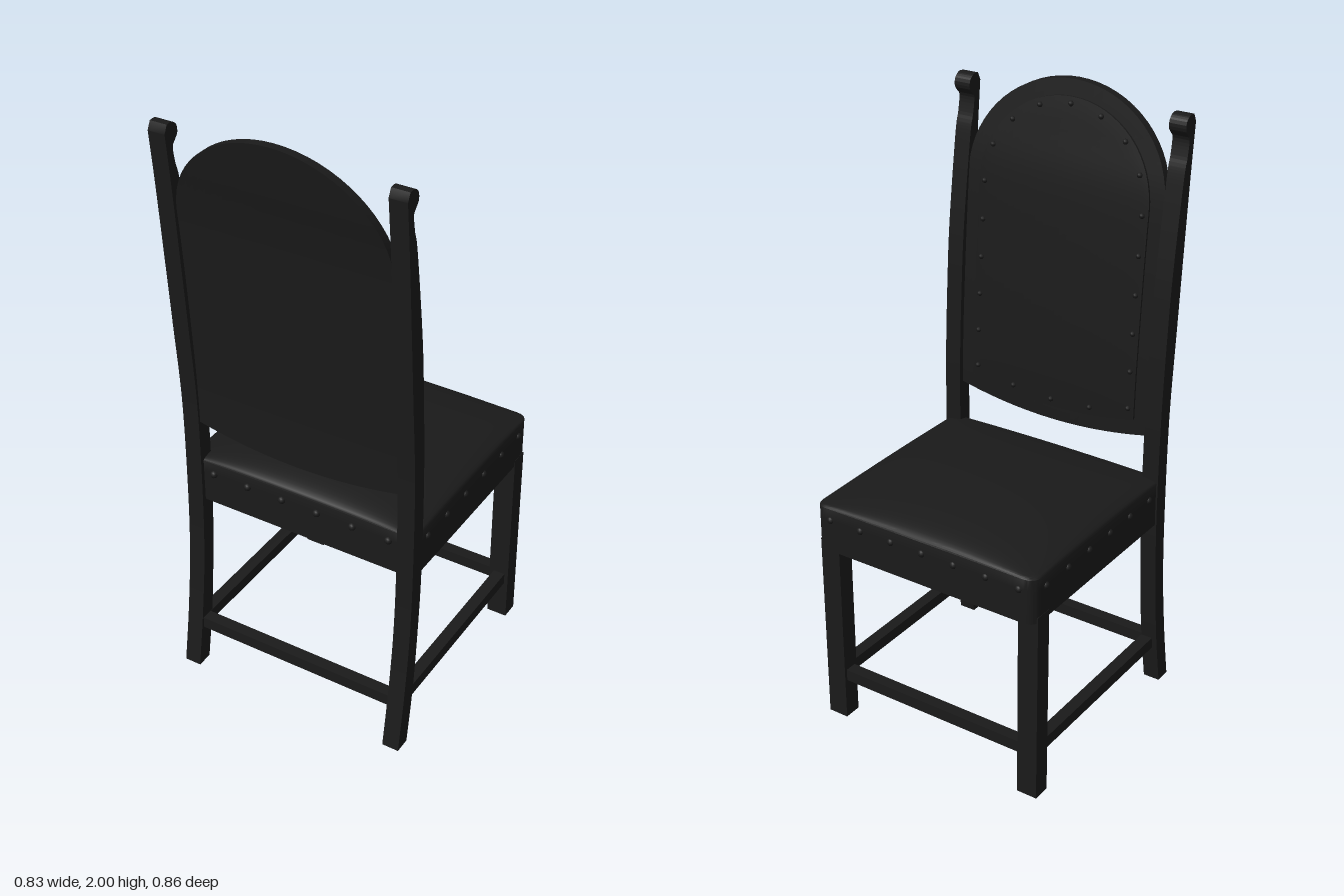
import * as THREE from 'three';
import { toCreasedNormals } from 'three/addons/utils/BufferGeometryUtils.js';

const material = new THREE.MeshStandardMaterial({ color: 0x1a1a1a });

function add(parent, name, geometry, x = 0, y = 0, z = 0) {
  const mesh = new THREE.Mesh(geometry, material);
  mesh.name = name;
  mesh.position.set(x, y, z);
  parent.add(mesh);
  return mesh;
}

// Move every vertex of a geometry by a rule, keeping hard edges sharp
function reshape(geometry, rule) {
  const p = geometry.attributes.position;
  const v = new THREE.Vector3();
  for (let i = 0; i < p.count; i++) {
    rule(v.fromBufferAttribute(p, i));
    p.setXYZ(i, v.x, v.y, v.z);
  }
  return toCreasedNormals(geometry, 0.7);
}

// Centre line of the leaning backrest: z for a given height
const leanCurve = new THREE.SplineCurve([[0.312, 0.88], [0.318, 1.1], [0.33, 1.3], [0.345, 1.5],
  [0.364, 1.7], [0.39, 1.85], [0.416, 2.0]].map(([z, y]) => new THREE.Vector2(z, y)));
const leanPoints = leanCurve.getPoints(60);
function lean(y) {
  let i = 1;
  while (i < leanPoints.length - 1 && leanPoints[i].y < y) i++;
  const a = leanPoints[i - 1], b = leanPoints[i];
  return a.x + (b.x - a.x) * (y - a.y) / (b.y - a.y);
}

// Arched outline heights for u from -1 to 1
const bottomAt = (s, u) => s.bottom + s.sag * u * u;
const topAt = (s, u) => s.shoulder + (s.top - s.shoulder) * Math.sqrt(Math.max(0, 1 - u * u));

// Arched plate following the lean, slightly thicker in the middle
function archedPlate(s) {
  return reshape(new THREE.BoxGeometry(2, 2, 2, 32, 30, 1), (v) => {
    const u = Math.sin(v.x * Math.PI / 2);
    const t = (v.y + 1) / 2;
    const y = THREE.MathUtils.lerp(bottomAt(s, u), topAt(s, u), t);
    const puff = s.puff * Math.sqrt(Math.max(0, (1 - u * u) * 4 * t * (1 - t)));
    v.set(u * s.half, y, lean(y) + s.offset + v.z * s.thick / 2 + (v.z < 0 ? -puff : 0));
  });
}

// Rear leg and back upright in one curved piece with a scrolled head
function uprightGeometry() {
  const vec = (list) => list.map(([z, y]) => new THREE.Vector2(z, y));
  const shape = new THREE.Shape();
  shape.moveTo(0.353, 0);
  shape.lineTo(0.407, 0);
  shape.splineThru(vec([[0.374, 0.2], [0.348, 0.42], [0.337, 0.66], [0.337, 1.0], [0.358, 1.3],
    [0.373, 1.5], [0.394, 1.77], [0.41, 1.94]]));
  shape.lineTo(0.398, 1.965);
  shape.splineThru(vec([[0.375, 1.965], [0.356, 1.95], [0.353, 1.925], [0.366, 1.907], [0.377, 1.89],
    [0.37, 1.84], [0.353, 1.77], [0.316, 1.5], [0.299, 1.3], [0.284, 1.0], [0.284, 0.66],
    [0.298, 0.42], [0.32, 0.2], [0.353, 0]]));
  const g = new THREE.ExtrudeGeometry(shape, { depth: 0.057, bevelEnabled: false, curveSegments: 48 });
  g.translate(0, 0, -0.0285).rotateY(-Math.PI / 2);
  return toCreasedNormals(g, 0.6);
}

// Upholstered seat: rounded front corners and a domed top
function seatGeometry() {
  const hx = 0.404, zMid = -0.049, hz = 0.371, r = 0.035;
  return reshape(new THREE.BoxGeometry(2, 2, 2, 36, 4, 36), (v) => {
    const u = Math.sin(v.x * Math.PI / 2), w = Math.sin(v.z * Math.PI / 2);
    const dome = 0.055 * Math.sqrt(Math.max(0, (1 - u * u) * (1 - w * w)));
    let x = u * hx, z = w * hz;
    const dx = Math.abs(x) - (hx - r), dz = -z - (hz - r);
    if (dx > 0 && dz > 0) {
      const k = Math.max(dx, dz) / Math.hypot(dx, dz);
      x = Math.sign(x) * (hx - r + dx * k);
      z = -(hz - r + dz * k);
    }
    v.set(x, v.y > 0.99 ? 0.79 + dome : 0.64 + (v.y + 1) * 0.075, zMid + z);
  });
}

export function createModel() {
  const chair = new THREE.Group();
  chair.name = 'chair';

  // Legs and uprights
  const upright = uprightGeometry();
  const leg = new THREE.BoxGeometry(0.07, 0.66, 0.06);
  const sideRail = new THREE.BoxGeometry(0.04, 0.04, 0.72);
  for (const side of [-1, 1]) {
    add(chair, 'backUpright', upright, side * 0.381);
    add(chair, 'frontLeg', leg, side * 0.37, 0.33, -0.37);
    add(chair, 'sideStretcher', sideRail, side * 0.372, 0.16, -0.01);
  }

  // Cross stretchers
  const crossRail = new THREE.BoxGeometry(0.72, 0.04, 0.04);
  add(chair, 'frontStretcher', crossRail, 0, 0.16, -0.37);
  add(chair, 'backStretcher', crossRail, 0, 0.16, 0.352);

  add(chair, 'seat', seatGeometry());

  // Backrest with a raised pad on the sitting side
  const panel = { half: 0.353, bottom: 0.9, sag: 0.04, shoulder: 1.68, top: 2, offset: 0, thick: 0.028, puff: 0 };
  const pad = { half: 0.305, bottom: 0.95, sag: 0.035, shoulder: 1.66, top: 1.95, offset: -0.012, thick: 0.018, puff: 0.004 };
  add(chair, 'backrest', archedPlate(panel));
  add(chair, 'backrestPad', archedPlate(pad));

  // Upholstery nails
  const nails = new THREE.Group();
  nails.name = 'upholsteryNails';
  chair.add(nails);
  const nailGeometry = new THREE.SphereGeometry(0.013, 10, 8);
  const nail = (x, y, z) => add(nails, 'nail', nailGeometry, x, y, z);
  for (let i = -3; i <= 3; i++) nail(i * 0.116, 0.75, -0.415);
  for (let i = 0; i < 6; i++) {
    nail(-0.315 + i * 0.126, 0.75, 0.321);
    for (const side of [-1, 1]) nail(side * 0.4, 0.75, -0.355 + i * 0.119);
  }

  // Smaller nails around the pad
  const small = new THREE.SphereGeometry(0.009, 8, 6);
  const padNail = (x, y) => add(nails, 'padNail', small, x, y, lean(y) - 0.023);
  for (const side of [-1, 1]) {
    for (let i = 0; i < 6; i++) padNail(side * 0.285, 1.02 + i * 0.125);
  }
  for (let i = 1; i < 8; i++) {
    const a = i * Math.PI / 8;
    padNail(0.285 * Math.cos(a), 1.66 + 0.27 * Math.sin(a));
  }
  for (let i = -1; i <= 1; i++) padNail(i * 0.145, 0.975 + 0.01 * i * i);

  return chair;
}
